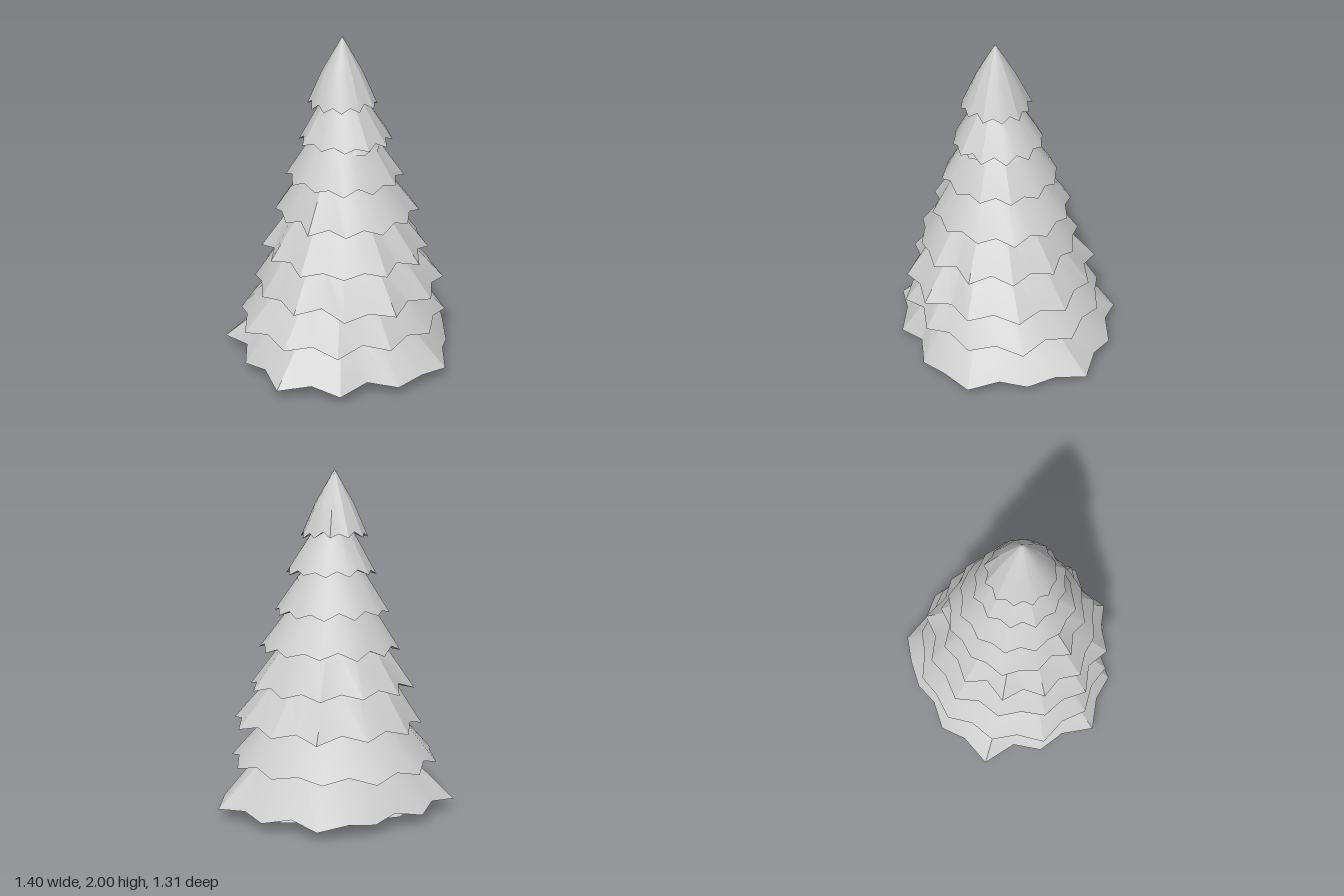
import * as THREE from 'three';
import { toCreasedNormals } from 'three/addons/utils/BufferGeometryUtils.js';

const SIDES = 24; // twelve branch tips with a notch between each pair
const TIP_X = -0.02, TIP_Z = 0.07;

// Hem radii of the widest tier, starting at the left notch and turning towards the front
const WIDE_HEM = [
  0.65, 0.64, 0.63, 0.71, 0.67, 0.67, 0.59, 0.675, 0.645, 0.73, 0.63, 0.66,
  0.60, 0.725, 0.626, 0.645, 0.578, 0.62, 0.64, 0.685, 0.61, 0.66, 0.635, 0.72,
];

// Tiers from bottom to top: hem radius and height, centre, shoulder radius and rise,
// rise to the apex, size of the inner skirt relative to the hem
const TIERS = [
  { r: 0.68, y: 0.068, x: 0, z: 0, midR: 0.455, rise: 0.23, top: 0.52, inner: 0.74 },
  { r: 0.61, y: 0.295, x: -0.02, z: 0.02, midR: 0.405, rise: 0.23, top: 0.5, inner: 0.74 },
  { r: 0.56, y: 0.52, x: 0.01, z: 0.05, midR: 0.38, rise: 0.23, top: 0.5, inner: 0.76 },
  { r: 0.475, y: 0.738, x: 0, z: 0.065, midR: 0.305, rise: 0.23, top: 0.5, inner: 0.77 },
  { r: 0.41, y: 0.962, x: 0.015, z: 0.05, midR: 0.245, rise: 0.23, top: 0.46, inner: 0.78 },
  { r: 0.335, y: 1.18, x: 0, z: 0.05, midR: 0.18, rise: 0.23, top: 0.42, inner: 0.78 },
  { r: 0.265, y: 1.412, x: 0, z: 0.065, midR: 0.13, rise: 0.21, top: 0.37, inner: 0.79 },
  { r: 0.198, y: 1.625, x: -0.02, z: 0.068, midR: 0.113, rise: 0.18, top: 0.375, inner: 0.7 },
];

function seeded(seed) {
  let s = seed;
  return () => {
    s = (s * 16807) % 2147483647;
    return s / 2147483647;
  };
}

// Closed skin between rings listed from the top down; the first and last are points
function loft(rings) {
  const pos = [];
  const index = [];
  rings.forEach((ring) => ring.forEach((p) => pos.push(p.x, p.y, p.z)));
  for (let k = 0; k < rings.length - 1; k++) {
    for (let i = 0; i < SIDES; i++) {
      const j = (i + 1) % SIDES;
      const a = k * SIDES + i, b = k * SIDES + j;
      const c = a + SIDES, d = b + SIDES;
      if (k > 0) index.push(a, b, c);
      if (k < rings.length - 2) index.push(b, d, c);
    }
  }
  const geo = new THREE.BufferGeometry();
  geo.setAttribute('position', new THREE.Float32BufferAttribute(pos, 3));
  geo.setIndex(index);
  return toCreasedNormals(geo, 0.4);
}

// Radius and height of each tip and notch along a tier's hem
function makeHem(t, n) {
  const rand = seeded(137 + n * 7919);
  for (let i = 0; i < 5; i++) rand();
  const hem = [];
  for (let i = 0; i < SIDES; i++) {
    const isTip = i % 2 === 1;
    const wobble = 1 + (rand() - 0.5) * 0.08;
    hem.push({
      r: n === 0 ? WIDE_HEM[i] : t.r * (isTip ? 1.01 : 0.92) * wobble,
      y: t.y + (isTip ? -0.016 : 0.016) + (rand() - 0.5) * 0.016,
    });
  }
  return hem;
}

function ringOf(hem, x, z, rule) {
  return hem.map((h, i) => {
    const a = (i / SIDES) * Math.PI * 2;
    const { r, y } = rule(h);
    return new THREE.Vector3(x + Math.cos(a) * r, y, z + Math.sin(a) * r);
  });
}

// Outer branches: apex, shoulder, jagged hem and a shallow hollow underneath
function shellGeometry(t, hem) {
  return loft([
    ringOf(hem, TIP_X, TIP_Z, () => ({ r: 0, y: t.y + t.top })),
    ringOf(hem, (t.x + TIP_X) / 2, (t.z + TIP_Z) / 2, (h) => ({
      r: t.midR * (0.7 + 0.3 * h.r / t.r), y: t.y + t.rise,
    })),
    ringOf(hem, t.x, t.z, (h) => h),
    ringOf(hem, t.x, t.z, () => ({ r: 0, y: t.y + 0.05 })),
  ]);
}

// Smaller skirt peeping out below the outer branches
function skirtGeometry(t, hem) {
  const y = t.y - 0.05;
  return loft([
    ringOf(hem, t.x, t.z, () => ({ r: 0, y: y + 0.34 * Math.sqrt(t.r / 0.68) })),
    ringOf(hem, t.x, t.z, (h) => ({
      r: t.r * t.inner * (0.5 + 0.5 * h.r / t.r), y: y + (h.y - t.y) * 0.4,
    })),
    ringOf(hem, t.x, t.z, () => ({ r: 0, y: y + 0.03 })),
  ]);
}

export function createModel() {
  const tree = new THREE.Group();
  tree.name = 'firTree';

  // Foliage tiers
  const foliage = new THREE.MeshStandardMaterial({ color: 0xcccccc });
  TIERS.forEach((t, n) => {
    const tier = new THREE.Group();
    tier.name = `foliageTier${n + 1}`;
    const hem = makeHem(t, n);
    const shell = new THREE.Mesh(shellGeometry(t, hem), foliage);
    shell.name = 'outerBranches';
    const skirt = new THREE.Mesh(skirtGeometry(t, hem), foliage);
    skirt.name = 'innerBranches';
    tier.add(shell, skirt);
    tree.add(tier);
  });

  // Trunk, mostly hidden inside the foliage
  const bark = new THREE.MeshStandardMaterial({ color: 0x8a4b22, flatShading: true });
  const trunk = new THREE.Mesh(new THREE.CylinderGeometry(0.05, 0.06, 0.2, 10), bark);
  trunk.name = 'trunk';
  trunk.position.set(0.01, 0.1, 0.025);
  tree.add(trunk);

  return tree;
}
